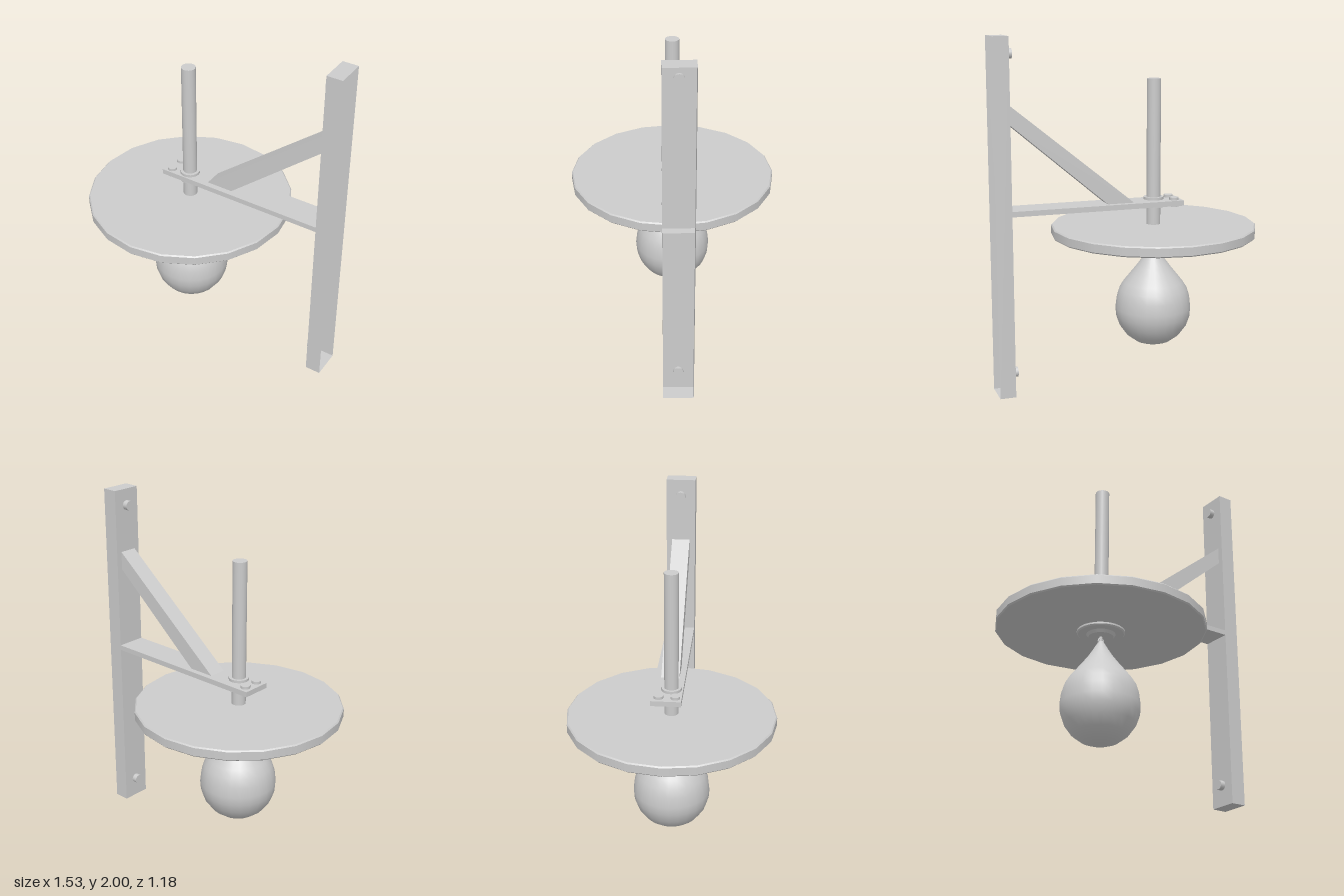
import * as THREE from 'three';

const grey = new THREE.MeshStandardMaterial({ color: 0xcccccc });
const greySheet = new THREE.MeshStandardMaterial({ color: 0xcccccc, side: THREE.DoubleSide });

const HUB_X = -0.178; // axis of rod, disc and bag
const BRACKET_Z = -0.02; // centre plane of post, arm and strut

export function createModel() {
  const model = new THREE.Group();

  const add = (name, geometry, x, y, z, material = grey) => {
    const mesh = new THREE.Mesh(geometry, material);
    mesh.name = name;
    mesh.position.set(x, y, z);
    model.add(mesh);
    return mesh;
  };

  // Thin-walled box lacking its first `faces` sides (+x, then -x)
  const openBox = (w, h, d, faces) => {
    const g = new THREE.BoxGeometry(w, h, d);
    g.setIndex(Array.from(g.index.array).slice(faces * 6));
    g.clearGroups();
    return g;
  };

  // Turned part; a doubled point makes a sharp edge
  const turned = (points, sides) =>
    new THREE.LatheGeometry(points.map(([r, y]) => new THREE.Vector2(r, y)), sides);

  // Vertical cylinder from y0 to y1
  const upright = (name, r, y0, y1, x, z, sides = 20) =>
    add(name, new THREE.CylinderGeometry(r, r, y1 - y0, sides), x, (y0 + y1) / 2, z);

  // Wall post: channel open to the wall, with a slot for the arm
  add('postFlanges', openBox(0.09, 2, 0.17, 2), 0.72, 1, BRACKET_Z, greySheet);
  for (const [y0, y1] of [[0, 1.03], [1.06, 2]]) {
    const web = add('postWeb', new THREE.PlaneGeometry(0.17, y1 - y0), 0.675, (y0 + y1) / 2, BRACKET_Z, greySheet);
    web.rotation.y = -Math.PI / 2;
  }
  for (const y of [0.12, 1.905]) {
    const bolt = add('postBolt', new THREE.CylinderGeometry(0.028, 0.028, 0.045, 16), 0.667, y, BRACKET_Z);
    bolt.rotation.z = Math.PI / 2;
  }

  // Horizontal arm, hollow at the post end
  add('arm', openBox(1, 0.03, 0.17, 1), 0.175, 1.045, BRACKET_Z, greySheet);

  // Diagonal strut
  const strutShape = new THREE.Shape([
    [-0.035, 1.06], [0.12, 1.06], [0.675, 1.53], [0.675, 1.635],
  ].map(([x, y]) => new THREE.Vector2(x, y)));
  add('strut', new THREE.ExtrudeGeometry(strutShape, { depth: 0.104, bevelEnabled: false }), 0, 0, BRACKET_Z - 0.052);

  // Height rod with its clamping collars and bolts
  upright('rod', 0.04, 0.9, 1.75, HUB_X, 0);
  upright('upperCollar', 0.057, 1.06, 1.075, HUB_X, 0);
  upright('lowerCollar', 0.057, 1.015, 1.03, HUB_X, 0);
  for (const z of [-0.062, 0.03]) upright('armBolt', 0.027, 1.022, 1.075, -0.28, z, 16);

  // Rebound disc with a small edge bevel
  add('disc', turned([
    [0, 0.855], [0.583, 0.855], [0.583, 0.855], [0.59, 0.862], [0.59, 0.862],
    [0.59, 0.908], [0.59, 0.908], [0.583, 0.915], [0.583, 0.915], [0, 0.915],
  ], 20), HUB_X, 0, 0);

  // Swivel plate under the disc
  add('swivelPlate', turned([
    [0, 0.822], [0.07, 0.822], [0.07, 0.822], [0.082, 0.838], [0.082, 0.838],
    [0.128, 0.838], [0.128, 0.838], [0.135, 0.845], [0.135, 0.845], [0.135, 0.856],
  ], 24), HUB_X, 0, 0);

  // Hanging link
  upright('swivelPin', 0.01, 0.795, 0.825, HUB_X, 0, 10);
  add('hangingRing', new THREE.TorusGeometry(0.015, 0.006, 8, 14), HUB_X, 0.797, 0);

  // Teardrop bag
  add('bag', turned([
    [0, 0.195], [0.05, 0.199], [0.105, 0.219], [0.157, 0.258], [0.196, 0.312], [0.216, 0.37],
    [0.22, 0.42], [0.213, 0.48], [0.198, 0.53], [0.172, 0.572], [0.136, 0.617],
    [0.1, 0.662], [0.068, 0.705], [0.042, 0.746], [0.022, 0.78], [0.012, 0.795], [0, 0.798],
  ], 24), HUB_X, 0, 0);

  return model;
}
